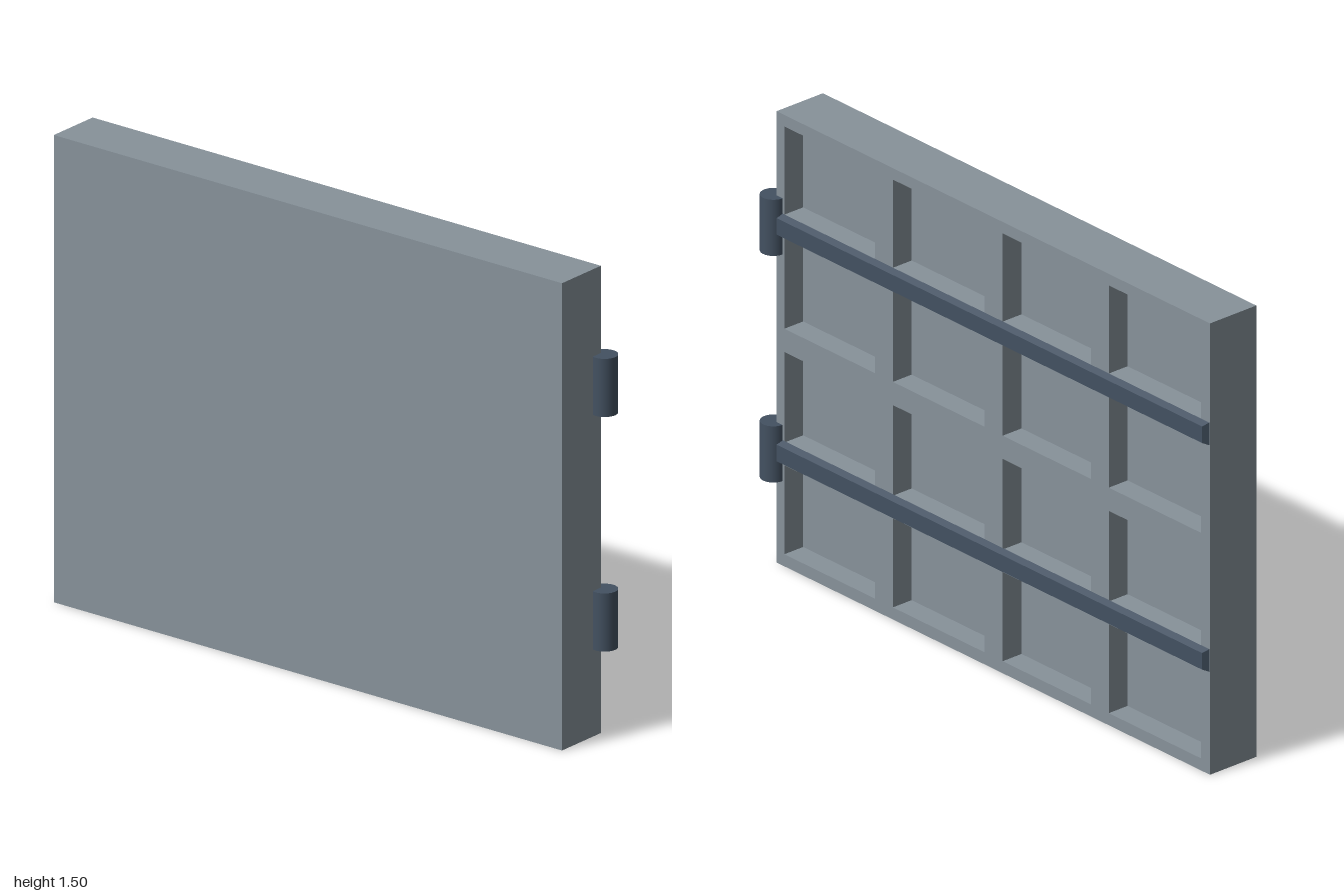
import * as THREE from 'three';

const BACK = -0.115, FLOOR = -0.005, FACE = 0.07; // panel depths along x
const Z0 = -1, Z1 = 0.945, HEIGHT = 1.495;

const panelMat = new THREE.MeshStandardMaterial({ color: 0x87929a });
const metalMat = new THREE.MeshStandardMaterial({ color: 0x435161 });

function add(group, name, geometry, material, x = 0, y = 0, z = 0) {
  const mesh = new THREE.Mesh(geometry, material);
  mesh.name = name;
  mesh.position.set(x, y, z);
  group.add(mesh);
}

function rect(path, x0, y0, x1, y1) {
  path.moveTo(x0, y0);
  path.lineTo(x1, y0);
  path.lineTo(x1, y1);
  path.lineTo(x0, y1);
  path.closePath();
  return path;
}

// Raised lattice with a 4 x 4 array of rectangular openings
function latticeGeometry() {
  const columns = [[-0.91, -0.503], [-0.423, -0.011], [0.07, 0.466], [0.546, 0.96]];
  const rows = [[0.04, 0.335], [0.41, 0.71], [0.787, 1.09], [1.165, 1.457]];
  const shape = rect(new THREE.Shape(), -Z1, 0, -Z0, HEIGHT);
  for (const [a, b] of columns)
    for (const [c, d] of rows) shape.holes.push(rect(new THREE.Path(), a, c, b, d));
  const geo = new THREE.ExtrudeGeometry(shape, { depth: FACE - FLOOR, bevelEnabled: false });
  return geo.rotateY(Math.PI / 2).translate(FLOOR, 0, 0);
}

// Flat bar whose outer face is drawn in to give chamfered edges
function strapGeometry() {
  const geo = new THREE.BoxGeometry(0.02, 0.075, 1.937).toNonIndexed();
  const p = geo.attributes.position;
  for (let i = 0; i < p.count; i++) {
    if (p.getX(i) > 0) {
      p.setY(i, p.getY(i) * 0.73);
      if (p.getZ(i) < 0) p.setZ(i, p.getZ(i) + 0.01);
    }
  }
  geo.computeVertexNormals();
  return geo;
}

export function createModel() {
  const model = new THREE.Group();
  model.name = 'hingedDoor';

  // Door panel: solid backing plus recessed lattice
  add(model, 'backing', new THREE.BoxGeometry(FLOOR - BACK, HEIGHT, Z1 - Z0), panelMat,
    (BACK + FLOOR) / 2, HEIGHT / 2, (Z0 + Z1) / 2);
  add(model, 'lattice', latticeGeometry(), panelMat);

  // Two straps, each ending in a hinge barrel
  for (const y of [0.3745, 1.125]) {
    const hinge = new THREE.Group();
    hinge.name = 'hinge';
    add(hinge, 'strap', strapGeometry(), metalMat, FACE + 0.01, y + 0.003, -0.0285);
    add(hinge, 'barrel', new THREE.CylinderGeometry(0.041, 0.041, 0.186, 32), metalMat,
      FACE, y - 0.002, 0.959);
    model.add(hinge);
  }
  return model;
}
